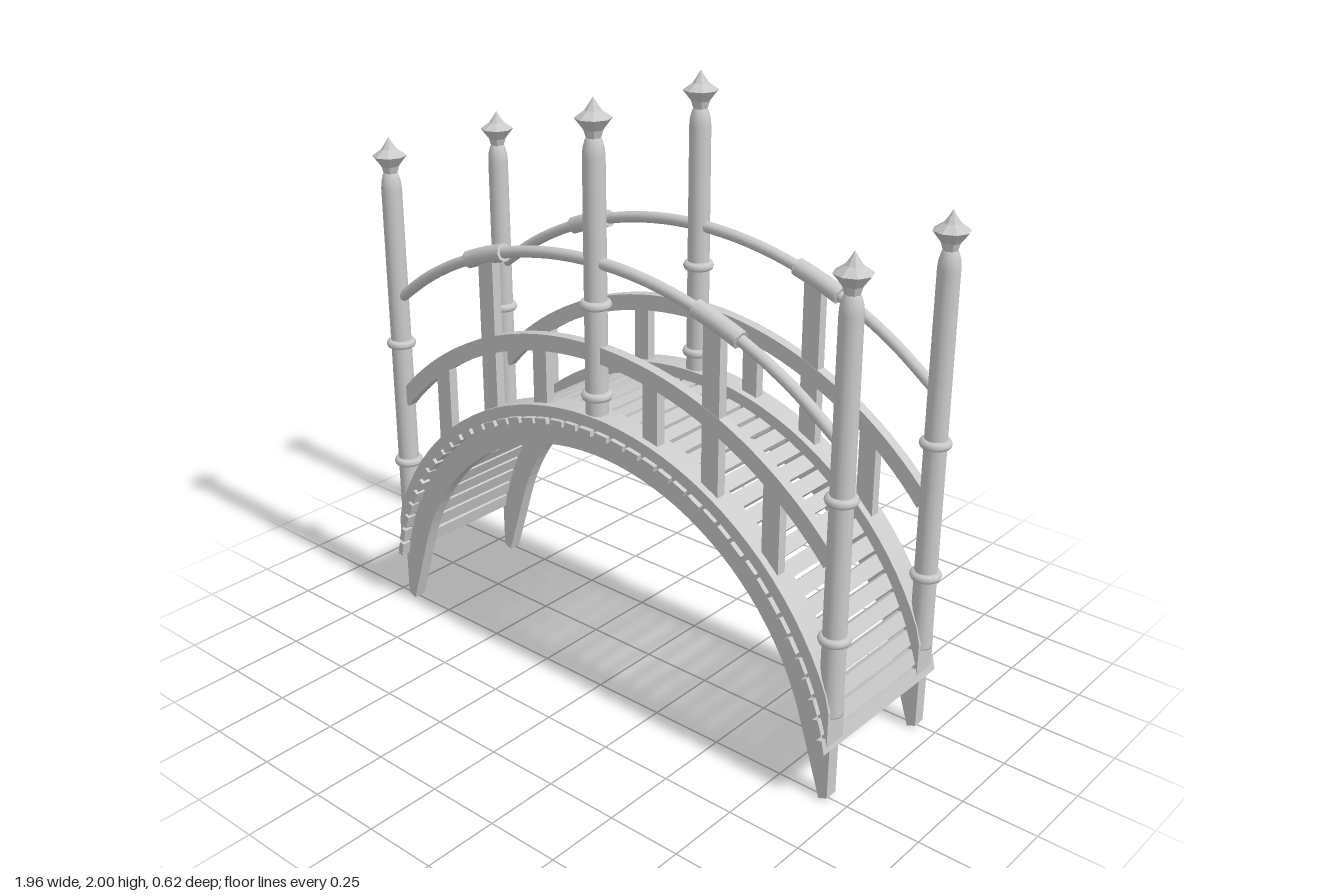
import * as THREE from 'three';

export function createModel() {
  const root = new THREE.Group();
  root.name = 'archedFootbridge';
  const smooth = new THREE.MeshStandardMaterial({ color: 0xcccccc });
  const flat = new THREE.MeshStandardMaterial({ color: 0xcccccc, flatShading: true });
  const SIDE = 0.2475; // z of each railing

  let seed = 7;
  const jitter = (a) => {
    seed = (seed * 16807) % 2147483647;
    return (seed / 2147483647 - 0.5) * 2 * a;
  };

  const add = (parent, name, geo, mat, x = 0, y = 0, z = 0) => {
    const m = new THREE.Mesh(geo, mat);
    m.name = name;
    m.position.set(x, y, z);
    parent.add(m);
    return m;
  };

  // Points on a circle about the origin, with x limited to maxX
  const arc = (r, a0, a1, maxX = 9, n = 44) => Array.from({ length: n + 1 }, (_, i) => {
    const a = a0 + (a1 - a0) * i / n;
    const x = r * Math.cos(a);
    return new THREE.Vector2(Math.max(-maxX, Math.min(maxX, x)), r * Math.sin(a));
  });

  // Closed outline extruded to a slab centred on z = 0
  const slab = (points, depth) => {
    const g = new THREE.ExtrudeGeometry(new THREE.Shape(points), { depth, bevelEnabled: false });
    return g.translate(0, 0, -depth / 2);
  };
  const band = (r0, r1, a, depth, maxX) =>
    slab([...arc(r1, a, Math.PI - a, maxX), ...arc(r0, Math.PI - a, a, maxX)], depth);

  // Shared geometries
  const v = (x, y) => new THREE.Vector2(x, y);
  const beamGeo = slab([
    v(0.94, 0.012), ...arc(0.96, 0.2, Math.PI - 0.2), v(-0.94, 0.012),
    v(-0.91, 0), ...arc(0.867, Math.PI - 0.3, 0.3), v(0.91, 0),
  ], 0.046);
  const kerbGeo = band(0.955, 1.005, 0.205, 0.084, 0.943);
  const midRailGeo = band(1.18, 1.235, Math.acos(0.75), 0.036);

  // Upper handrail: shallow arc of radius 1.43 peaking at y = 1.5
  const handrailTube = (x0, x1, r, n) => {
    const pts = Array.from({ length: 13 }, (_, i) => {
      const x = x0 + (x1 - x0) * i / 12;
      return new THREE.Vector3(x, Math.sqrt(1.43 ** 2 - x * x) + 0.07, 0);
    });
    return new THREE.TubeGeometry(new THREE.CatmullRomCurve3(pts), n, r, 10, false);
  };
  const sleeveEnd = new THREE.CylinderGeometry(0.03, 0.03, 0.004, 10);

  // Eight-sided pointed finial with concave flanks
  const finialGeo = new THREE.LatheGeometry([
    v(0, -0.065), v(0.022, -0.062), v(0.03, -0.035), v(0.057, 0),
    v(0.026, 0.022), v(0.01, 0.045), v(0, 0.062),
  ], 8);

  // Round post with domed head, rings and finial
  const addPost = (parent, x, y0, y1, rings) => {
    const post = new THREE.Group();
    post.name = 'post';
    post.position.x = x;
    parent.add(post);
    const h = y1 - y0;
    add(post, 'postShaft', new THREE.LatheGeometry([
      v(0, 0), v(0.037, 0), v(0.037, 0.004), v(0.036, h * 0.5), v(0.035, h - 0.065),
      v(0.033, h - 0.04), v(0.026, h - 0.015), v(0.016, h), v(0, h),
    ], 14), smooth, 0, y0);
    for (const y of rings) {
      const ring = add(post, 'postRing', new THREE.TorusGeometry(0.036, 0.015, 8, 18), smooth, 0, y);
      ring.rotation.x = Math.PI / 2;
    }
    add(post, 'finial', finialGeo, flat, 0, y1 + 0.05);
  };

  for (const s of [1, -1]) {
    const side = new THREE.Group();
    side.name = s > 0 ? 'frontRailing' : 'backRailing';
    side.position.z = s * SIDE;
    root.add(side);

    add(side, 'archBeam', beamGeo, flat);
    add(side, 'kerb', kerbGeo, flat);
    add(side, 'middleRail', midRailGeo, flat);
    add(side, 'handrail', handrailTube(-0.91, 0.91, 0.019, 40), smooth);

    addPost(side, 0, 0.95, 1.89, [1.065, 1.365]);
    for (const m of [1, -1]) {
      addPost(side, m * 0.923, 0.3, 1.62, [0.555, 1.005]);

      // Sleeve joint on the handrail with closed ends
      add(side, 'handrailSleeve', handrailTube(m * 0.395, m * 0.555, 0.03, 6), smooth);
      for (const x of [0.395, 0.555]) {
        const cap = add(side, 'sleeveEnd', sleeveEnd, flat, m * x, Math.sqrt(1.43 ** 2 - x * x) + 0.07);
        cap.rotation.z = Math.PI / 2 - Math.asin(m * x / 1.43);
      }

      // Flat uprights: x, width, bottom, top
      for (const [x, w, b, t] of [[0.232, 0.058, 0.95, 1.19], [0.465, 0.064, 0.86, 1.42], [0.695, 0.062, 0.66, 0.98]]) {
        add(side, 'upright', new THREE.BoxGeometry(w, t - b, 0.034), flat, m * x, (b + t) / 2);
      }
    }
  }

  // Deck planks laid along the arch, slightly uneven
  const deck = new THREE.Group();
  deck.name = 'deck';
  root.add(deck);
  const COUNT = 41, START = 0.222;
  for (let i = 0; i < COUNT; i++) {
    const a = START + (Math.PI - 2 * START) * i / (COUNT - 1);
    const plank = add(deck, 'plank', new THREE.BoxGeometry(0.05 + jitter(0.003), 0.02, 0.612 + jitter(0.004)),
      flat, 0.956 * Math.cos(a), 0.956 * Math.sin(a));
    plank.rotation.set(0, jitter(0.008), a - Math.PI / 2 + jitter(0.03));
  }
  return root;
}
